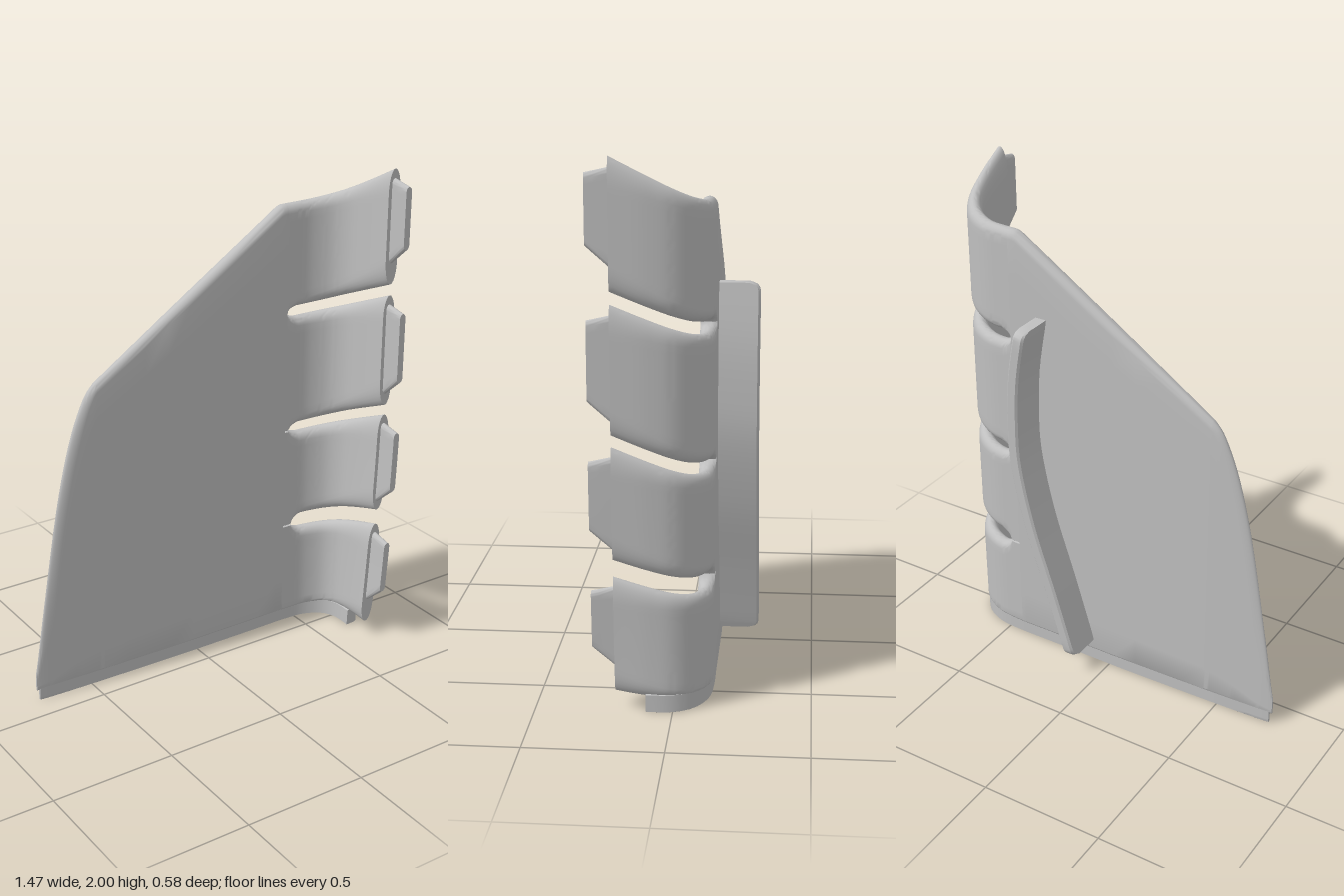
import * as THREE from 'three';
import { toCreasedNormals } from 'three/addons/utils/BufferGeometryUtils.js';

const clamp = (v) => Math.min(1, Math.max(0, v));
const lerp = THREE.MathUtils.lerp;

// Plan path of the panel: straight, then bending forward
const bend = new THREE.CatmullRomCurve3([
  [0.3, -0.11], [0.45, -0.11], [0.55, -0.1], [0.63, -0.06], [0.675, 0],
  [0.695, 0.08], [0.705, 0.21], [0.708, 0.3],
].map(([x, z]) => new THREE.Vector3(x, 0, z)));
const bendLength = bend.getLength();
const pathEnd = 0.3 + bendLength;

function planAt(u) {
  if (u <= 0.3) return { x: u, z: -0.11, tx: 1, tz: 0 };
  const t = clamp((u - 0.3) / bendLength);
  const p = bend.getPointAt(t), d = bend.getTangentAt(t);
  return { x: p.x, z: p.z, tx: d.x, tz: d.z };
}

// Path position at which the panel reaches a given depth
function uAtZ(z) {
  let a = 0.5, b = pathEnd;
  for (let i = 0; i < 30; i++) {
    const m = (a + b) / 2;
    if (planAt(m).z < z) a = m; else b = m;
  }
  return a;
}

// Skin closed rings of equal length, capping both ends
function loft(rings, crease = 0.7) {
  const n = rings[0].length, pos = rings.flat(2), idx = [];
  for (let i = 0; i < rings.length - 1; i++) {
    for (let j = 0; j < n; j++) {
      const k = (j + 1) % n;
      const a = i * n + j, b = i * n + k, c = b + n, d = a + n;
      idx.push(a, d, c, a, c, b);
    }
  }
  [0, rings.length - 1].forEach((r, end) => {
    const centre = pos.length / 3;
    for (let q = 0; q < 3; q++) pos.push(rings[r].reduce((s, p) => s + p[q], 0) / n);
    for (let j = 0; j < n; j++) {
      const a = r * n + j, b = r * n + (j + 1) % n;
      if (end) idx.push(centre, b, a); else idx.push(centre, a, b);
    }
  });
  const g = new THREE.BufferGeometry();
  g.setAttribute('position', new THREE.Float32BufferAttribute(pos, 3));
  g.setIndex(idx);
  return toCreasedNormals(g, crease);
}

// Upright section of the sheet at u, with rounded lower and upper edges
function section(u, y0, y1, half, r0, r1) {
  const { x, z, tx, tz } = planAt(u), h = y1 - y0;
  r0 = Math.min(r0, h * 0.45);
  r1 = Math.min(r1, h * 0.45);
  const rows = [];
  for (let i = 0; i <= 6; i++) {
    const a = (i / 6) * Math.PI / 2;
    rows.push([y0 + r0 * (1 - Math.cos(a)), half * Math.sin(a)]);
  }
  for (let i = 1; i < 12; i++) rows.push([lerp(y0 + r0, y1 - r1, i / 12), half]);
  for (let i = 6; i >= 0; i--) {
    const a = (i / 6) * Math.PI / 2;
    rows.push([y1 - r1 * (1 - Math.cos(a)), half * Math.sin(a)]);
  }
  const point = ([y, o], side) => {
    // lower fingers curl further inward
    const curl = 0.055 * Math.max(0, 1 - y) ** 1.5 * clamp((z + 0.11) / 0.32) ** 1.5;
    return [x - curl - tz * o * side, y, z + tx * o * side];
  };
  return [...rows.map((r) => point(r, 1)), ...rows.slice(1, -1).reverse().map((r) => point(r, -1))];
}

const thickness = (u) => 0.03 * clamp((u + 0.75) / 0.7) ** 0.45;
const ROOT = 0.43;

// Slots between fingers: root position, root height, rise, half width
const slots = [
  { root: 0.43, y: 1.39, rise: 0.132, w: 0.022 },
  { root: 0.45, y: 0.885, rise: 0.135, w: 0.021 },
  { root: 0.47, y: 0.452, rise: 0.096, w: 0.032 },
];

export function createModel() {
  const group = new THREE.Group();
  const grey = new THREE.MeshStandardMaterial({ color: 0xbfbfbf });
  grey.name = 'light grey';
  const add = (name, geometry) => {
    const mesh = new THREE.Mesh(geometry, grey);
    mesh.name = name;
    group.add(mesh);
  };

  // Main panel with swept outer edge
  const edge = new THREE.SplineCurve([
    [-0.74, 0.12], [-0.725, 0.2], [-0.69, 0.41], [-0.62, 0.8], [-0.555, 1.06],
    [-0.49, 1.22], [-0.44, 1.28],
  ].map((p) => new THREE.Vector2(...p))).getPoints(30);
  for (let i = 1; i <= 8; i++) edge.push(new THREE.Vector2(lerp(-0.44, 0.395, i / 8), lerp(1.28, 1.828, i / 8)));
  edge.push(new THREE.Vector2(0.41, 1.834), new THREE.Vector2(ROOT, 1.835));
  add('mainPanel', loft(edge.map((p) =>
    section(p.x, 0.045, p.y, thickness(p.x), 0.015, 0.035 + 0.3 * clamp((-0.45 - p.x) / 0.29)))));

  // Inset strip along the bottom
  const stripEnd = uAtZ(0.1), strip = [];
  for (let i = 0; i <= 50; i++) {
    const u = lerp(-0.728, stripEnd, i / 50);
    strip.push(section(u, 0, 0.07, thickness(u) * 0.88, 0.002, 0.002));
  }
  add('bottomStrip', loft(strip));

  // Four forward-curving fingers, each with an end tab
  const tip = uAtZ(0.21), tabTip = uAtZ(0.29);
  const tops = [2.0, 1.5, 1.0, 0.515], tabLow = [0.3, 0.34, 0.31, 0.275];
  for (let f = 0; f < 4; f++) {
    const rings = [], steps = 44;
    for (let i = 0; i <= steps; i++) {
      const s = (i / steps) ** 1.3, u = lerp(ROOT, tip, s);
      const forward = (planAt(u).z + 0.11) / 0.32;
      const slotEdge = (slot, side) => {
        const open = Math.sqrt(clamp((u - slot.root) / 0.05));
        return { y: slot.y + slot.rise * forward + side * slot.w * open, r: 0.004 + 0.03 * open + 0.06 * s * s };
      };
      const top = f === 0 ? { y: 1.835 + 0.165 * forward, r: 0.035 + 0.06 * s * s } : slotEdge(slots[f - 1], -1);
      const low = f === 3 ? { y: 0.045 + 0.022 * s * s, r: 0.015 + 0.07 * s * s } : slotEdge(slots[f], 1);
      rings.push(section(u, low.y, top.y, 0.03, low.r, top.r));
    }
    add('finger' + (f + 1), loft(rings));

    const tab = [];
    for (let i = 0; i <= 3; i++) {
      const t = i / 3;
      tab.push(section(lerp(tip - 0.01, tabTip, t),
        tops[f] - tabLow[f] - 0.08 * (1 - t), tops[f] - 0.035 - 0.02 * t, 0.014, 0.02, 0.02));
    }
    add('endTab' + (f + 1), loft(tab));
  }

  // Curved rib on the back
  const spine = new THREE.CatmullRomCurve3([
    [0.095, 0.1], [0.18, 0.38], [0.275, 0.68], [0.33, 0.95], [0.335, 1.12], [0.325, 1.3], [0.29, 1.51],
  ].map(([x, y]) => new THREE.Vector3(x, y, 0)));
  const ribLength = spine.getLength(), rib = [];
  const stops = [0, 0.006, 0.014, 0.024];
  for (let i = 1; i < 30; i++) stops.push(lerp(0.024, 0.976, i / 30));
  stops.push(0.976, 0.986, 0.994, 1);
  for (const t of stops) {
    const p = spine.getPointAt(t), d = spine.getTangentAt(t);
    const fromEnd = Math.min(t, 1 - t) * ribLength, q = 1 - clamp(fromEnd / 0.035);
    const back = -0.29 + 0.035 * (1 - Math.sqrt(1 - q * q));
    const w = 0.024, c = 0.008;
    rib.push([[w, -0.12], [-w, -0.12], [-w, back + c], [-w + c, back], [w - c, back], [w, back + c]]
      .map(([o, z]) => [p.x + d.y * o, p.y - d.x * o * (1 - q), z]));
  }
  add('backRib', loft(rib));
  return group;
}
